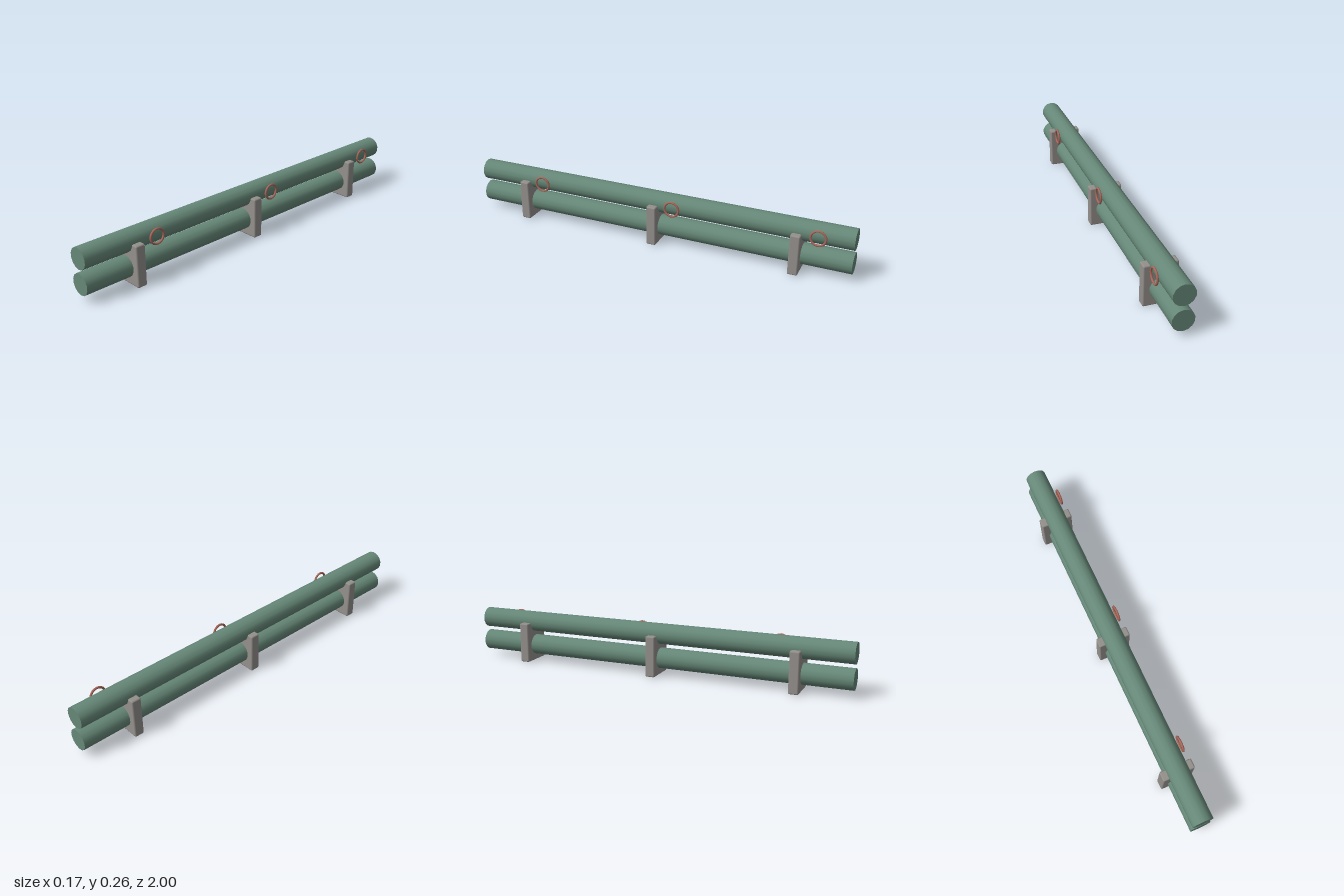
import * as THREE from 'three';
import { RoundedBoxGeometry } from 'three/addons/geometries/RoundedBoxGeometry.js';

export function createModel() {
  const model = new THREE.Group();
  model.name = 'pipeRack';
  const green = new THREE.MeshStandardMaterial({ color: 0x668878 });
  const stone = new THREE.MeshStandardMaterial({ color: 0x94908c });
  const copper = new THREE.MeshStandardMaterial({ color: 0xa9675a });

  const add = (name, geometry, material, x, y, z) => {
    const mesh = new THREE.Mesh(geometry, material);
    mesh.name = name;
    mesh.position.set(x, y, z);
    model.add(mesh);
  };

  // Two stacked pipes running front to back
  const pipe = new THREE.CylinderGeometry(0.053, 0.053, 2, 14).rotateX(Math.PI / 2);
  add('lowerPipe', pipe, green, 0, 0.085, 0);
  add('upperPipe', pipe, green, 0, 0.21, 0);

  // Support blocks, each with a valve ring just behind it on the left side
  const block = new RoundedBoxGeometry(0.165, 0.208, 0.05, 1, 0.007);
  const ring = new THREE.TorusGeometry(0.037, 0.0055, 8, 20).rotateY(Math.PI / 2);
  for (const z of [0.73, 0, -0.73]) {
    add('supportBlock', block, stone, 0, 0.104, z);
    add('valveRing', ring, copper, 0.066, 0.211, z - 0.105);
  }
  return model;
}
